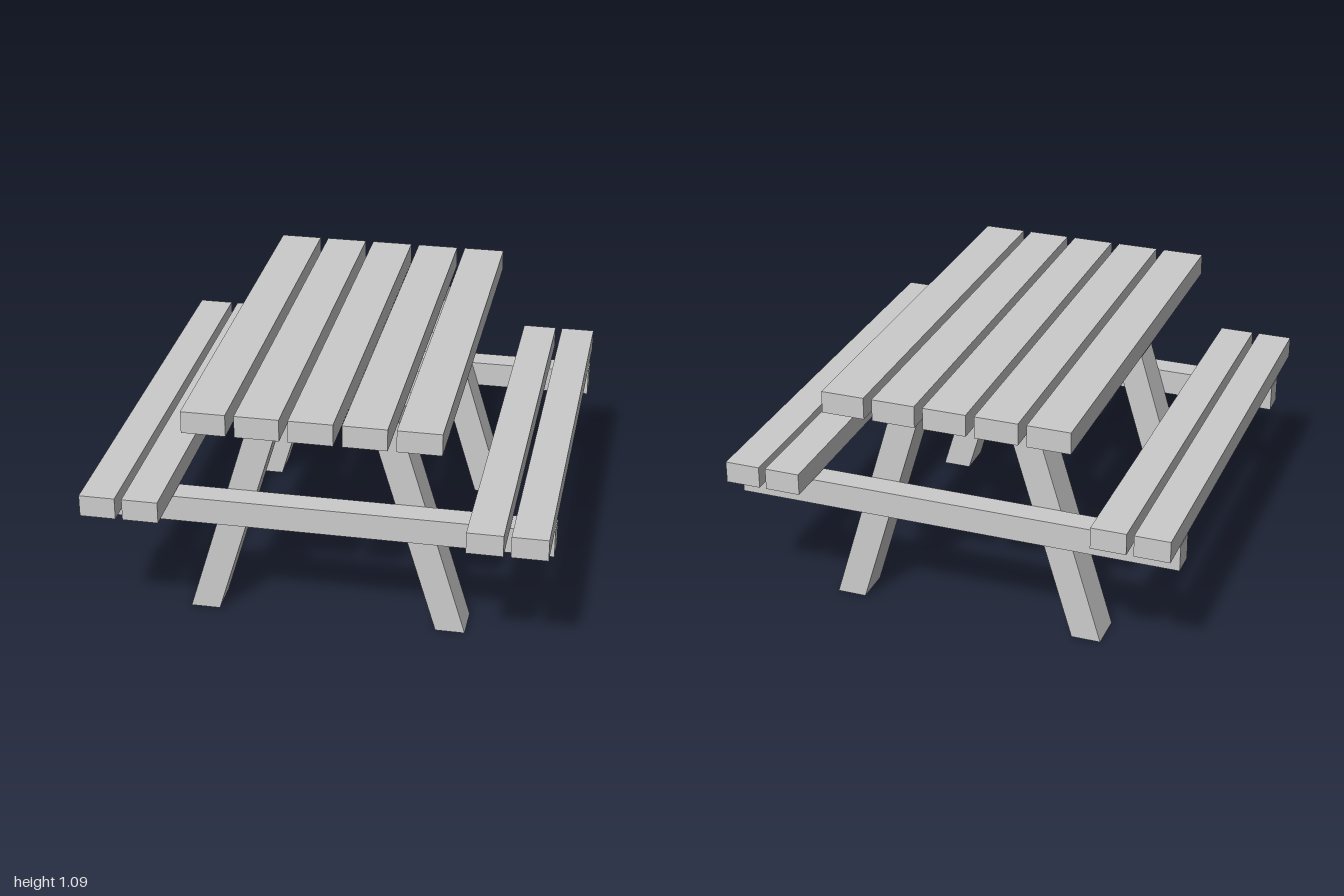
import * as THREE from 'three';

const material = new THREE.MeshStandardMaterial({ color: 0xcccccc, flatShading: true });

// Straight board given by its extents along each axis
function board(name, [x0, x1], [y0, y1], [z0, z1]) {
  const mesh = new THREE.Mesh(new THREE.BoxGeometry(x1 - x0, y1 - y0, z1 - z0), material);
  mesh.position.set((x0 + x1) / 2, (y0 + y1) / 2, (z0 + z1) / 2);
  mesh.name = name;
  return mesh;
}

// Slanted leg with level ends: a parallelogram extruded along z
function leg(name, footX, topX, width, height, [z0, z1]) {
  const shape = new THREE.Shape([
    new THREE.Vector2(footX, 0),
    new THREE.Vector2(footX + width, 0),
    new THREE.Vector2(topX + width, height),
    new THREE.Vector2(topX, height),
  ]);
  const geometry = new THREE.ExtrudeGeometry(shape, { depth: z1 - z0, bevelEnabled: false });
  const mesh = new THREE.Mesh(geometry, material);
  mesh.position.z = z0;
  mesh.name = name;
  return mesh;
}

export function createModel() {
  const table = new THREE.Group();
  table.name = 'picnicTable';

  // Five table top planks
  const top = new THREE.Group();
  top.name = 'tableTop';
  for (let i = 0; i < 5; i++) {
    const x = -0.545 + i * 0.22;
    top.add(board(`topPlank${i + 1}`, [x, x + 0.184], [0.995, 1.09], [-0.97, 0.927]));
  }
  table.add(top);

  // Two battens under the table top
  for (const [name, z] of [['frontBatten', [0.18, 0.386]], ['backBatten', [-0.423, -0.217]]]) {
    table.add(board(name, [-0.487, 0.475], [0.892, 0.99], z));
  }

  // Benches of two planks each
  for (const [name, start] of [['rightBench', -0.97], ['leftBench', 0.63]]) {
    const bench = new THREE.Group();
    bench.name = name;
    for (let i = 0; i < 2; i++) {
      const x = start + i * 0.181;
      bench.add(board(`benchPlank${i + 1}`, [x, x + 0.151], [0.606, 0.7], [-1, 1]));
    }
    table.add(bench);
  }

  // End frames: a pair of splayed legs with a bench bearer on the outside
  const frames = [
    ['front', [0.5, 0.656], [0.656, 0.764]],
    ['back', [-0.748, -0.588], [-0.854, -0.748]],
  ];
  for (const [end, legZ, bearerZ] of frames) {
    const frame = new THREE.Group();
    frame.name = `${end}Frame`;
    frame.add(
      leg('rightLeg', -0.61, -0.314, 0.127, 0.993, legZ),
      leg('leftLeg', 0.465, 0.169, 0.127, 0.993, legZ),
      board('benchBearer', [-0.97, 0.965], [0.486, 0.601], bearerZ),
    );
    table.add(frame);
  }
  return table;
}
